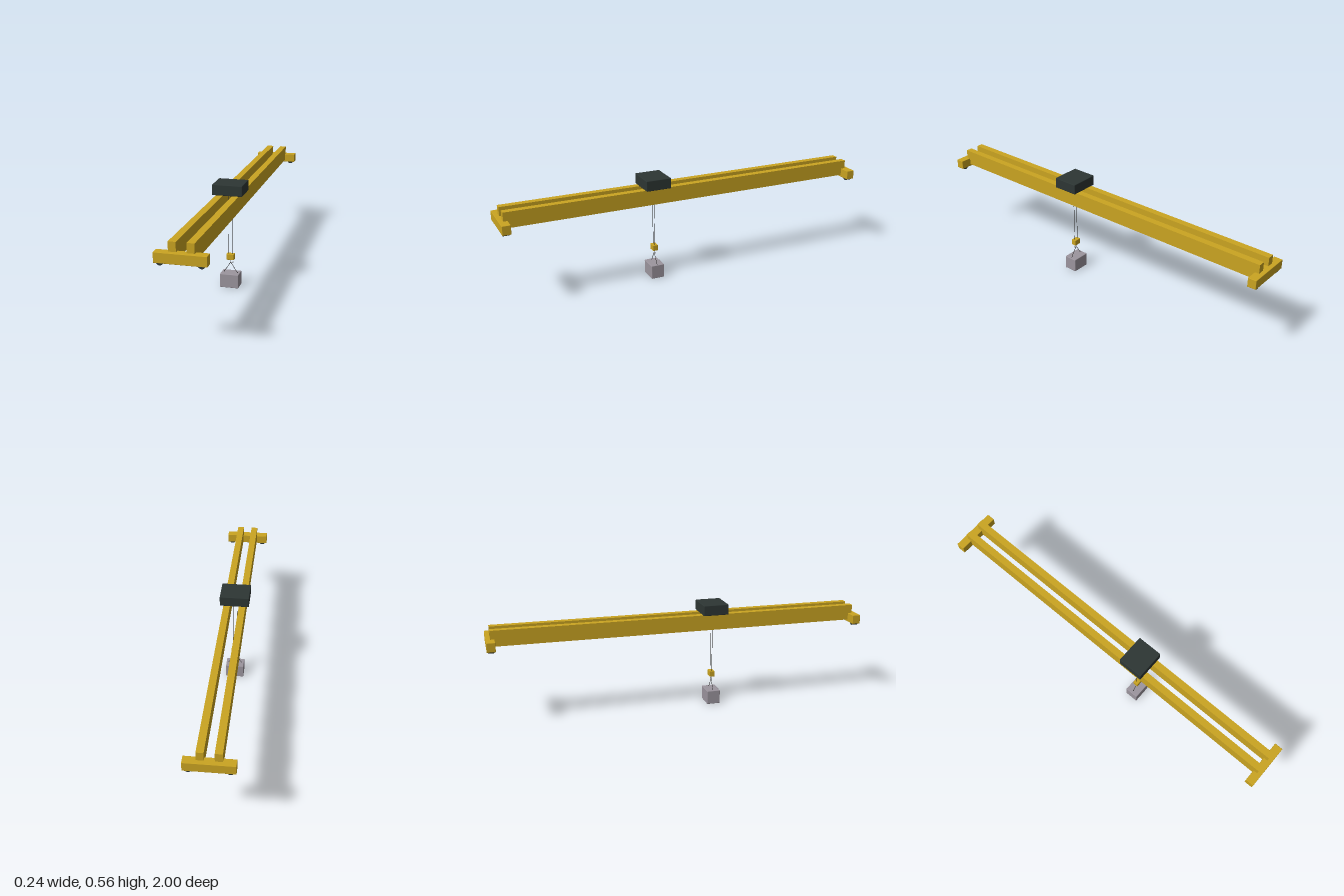
import * as THREE from 'three';
import { RoundedBoxGeometry } from 'three/addons/geometries/RoundedBoxGeometry.js';

const material = (name, color) => {
  const m = new THREE.MeshStandardMaterial({ color });
  m.name = name;
  return m;
};

export function createModel() {
  const yellow = material('craneYellow', 0xcaa421);
  const dark = material('darkSteel', 0x2d3634);
  const rope = material('ropeBlack', 0x2a2a28);
  const steel = material('hookSteel', 0x8c8f94);
  const loadGrey = material('loadGrey', 0x9c959e);

  const crane = new THREE.Group();
  crane.name = 'overheadCrane';
  const add = (name, geometry, mat, x = 0, y = 0, z = 0) => {
    const mesh = new THREE.Mesh(geometry, mat);
    mesh.name = name;
    mesh.position.set(x, y, z);
    crane.add(mesh);
    return mesh;
  };
  const box = (name, size, bevel, mat, x, y, z) =>
    add(name, new RoundedBoxGeometry(...size, 2, bevel), mat, x, y, z);
  // Thin round bar between two points
  const bar = (name, a, b, radius, mat) => {
    const from = new THREE.Vector3(...a), to = new THREE.Vector3(...b);
    const path = new THREE.LineCurve3(from, to);
    return add(name, new THREE.TubeGeometry(path, 1, radius, 8), mat);
  };

  const hoistZ = 0.183;

  for (const s of [-1, 1]) {
    const side = s > 0 ? 'left' : 'right';
    const end = s > 0 ? 'front' : 'back';

    // Twin bridge girders
    add(side + 'Girder', new THREE.BoxGeometry(0.035, 0.082, 1.956), yellow, s * 0.041, 0.463, 0);

    // End carriage with its two wheels
    box(end + 'EndCarriage', [0.237, 0.048, 0.044], 0.002, yellow, 0, 0.435, s * 0.978);
    for (const w of [-1, 1]) {
      const wheel = new THREE.CylinderGeometry(0.018, 0.018, 0.032, 24).rotateX(Math.PI / 2);
      add(end + 'Wheel', wheel, dark, w * 0.092, 0.418, s * 0.978);
    }

    // Hoist rope and load sling
    bar(side + 'HoistRope', [s * 0.011, 0.176, hoistZ], [s * 0.011, 0.506, hoistZ], 0.0012, rope);
    bar(side + 'Sling', [0, 0.13, hoistZ], [s * 0.037, 0.073, hoistZ], 0.0013, rope);
  }

  // Trolley riding on the girders
  box('trolley', [0.155, 0.055, 0.135], 0.003, dark, 0, 0.5315, hoistZ);

  // Hook block, shank and curved hook
  box('hookBlock', [0.04, 0.031, 0.028], 0.002, yellow, 0, 0.1615, hoistZ);
  bar('hookShank', [0, 0.148, hoistZ], [0, 0.132, hoistZ], 0.0022, steel);
  const hook = add('hook', new THREE.TorusGeometry(0.006, 0.0022, 8, 20, Math.PI * 1.15), steel, 0.006, 0.132, hoistZ);
  hook.rotation.z = Math.PI;

  // Suspended load
  box('load', [0.099, 0.074, 0.072], 0.003, loadGrey, 0, 0.037, hoistZ);

  return crane;
}
